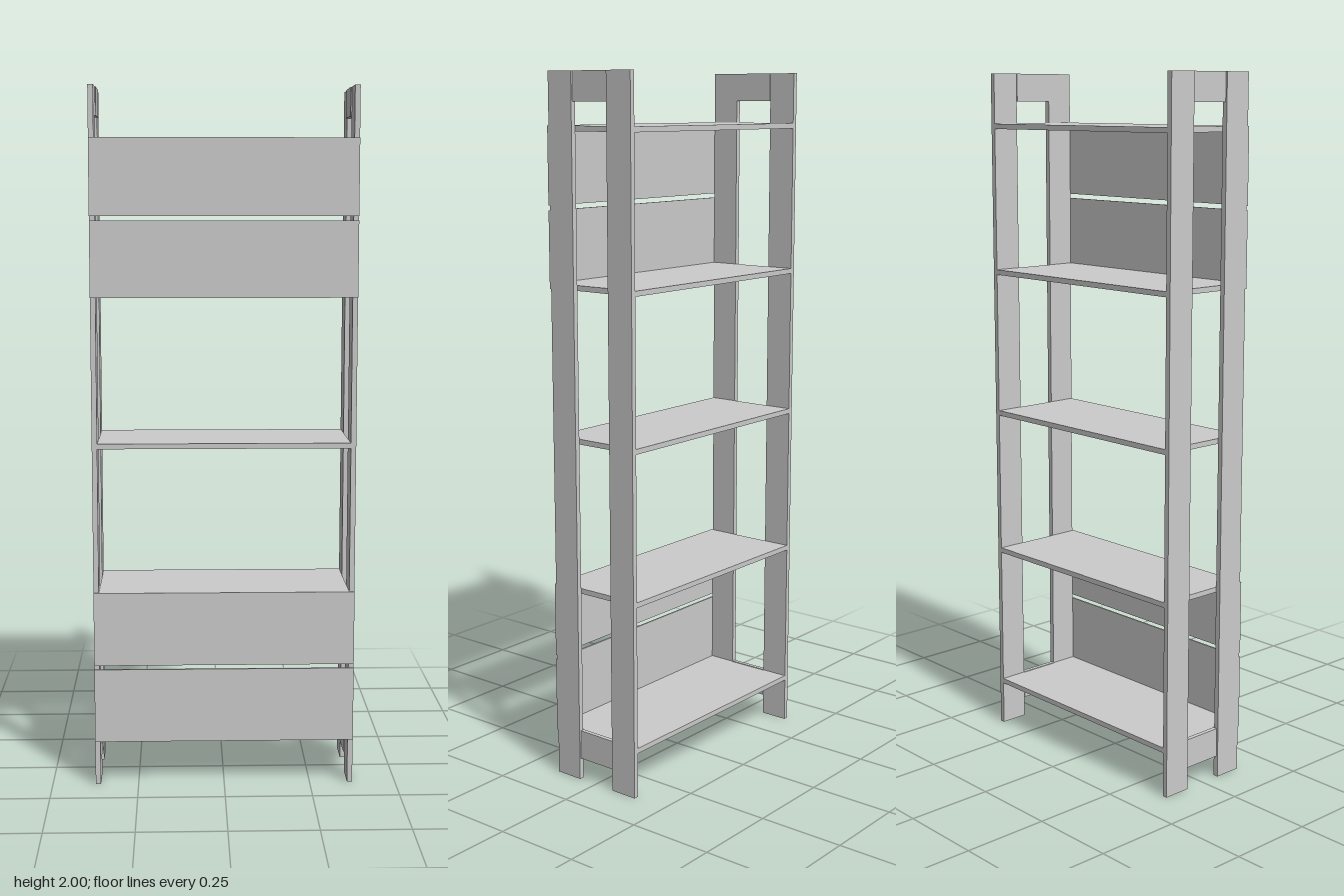
import * as THREE from 'three';

const material = new THREE.MeshStandardMaterial({ color: 0xcccccc });

// Box given by its extents along each axis
function board(name, [x0, x1], [y0, y1], [z0, z1]) {
  const geometry = new THREE.BoxGeometry(x1 - x0, y1 - y0, z1 - z0);
  const mesh = new THREE.Mesh(geometry, material);
  mesh.position.set((x0 + x1) / 2, (y0 + y1) / 2, (z0 + z1) / 2);
  mesh.name = name;
  return mesh;
}

// One end frame: two posts joined by slightly inset rails
function sideFrame(name, side) {
  const frame = new THREE.Group();
  frame.name = name;
  const span = (inner, outer) => (side > 0 ? [inner, outer] : [-outer, -inner]);
  const post = span(0.36, 0.375);
  const rail = span(0.357, 0.37);
  frame.add(
    board('frontPost', post, [0, 2], [0.059, 0.142]),
    board('backPost', post, [0, 2], [-0.147, -0.064]),
    board('topRail', rail, [1.92, 2], [-0.064, 0.059]),
    board('bottomRail', rail, [0.062, 0.147], [-0.064, 0.059]),
  );
  return frame;
}

export function createModel() {
  const model = new THREE.Group();
  model.name = 'shelfUnit';

  model.add(sideFrame('leftFrame', 1), sideFrame('rightFrame', -1));

  // Five shelves between the frames, listed by top height
  [0.145, 0.572, 1.004, 1.431, 1.857].forEach((top, i) => {
    model.add(board(`shelf${i + 1}`, [-0.36, 0.36], [top - 0.015, top], [-0.147, 0.142]));
  });

  // Thin front panels in two pairs, each pair split by a narrow gap
  [[0.13, 0.346], [0.358, 0.572], [1.416, 1.63], [1.643, 1.857]].forEach((y, i) => {
    model.add(board(`frontPanel${i + 1}`, [-0.375, 0.375], y, [0.142, 0.147]));
  });

  return model;
}
